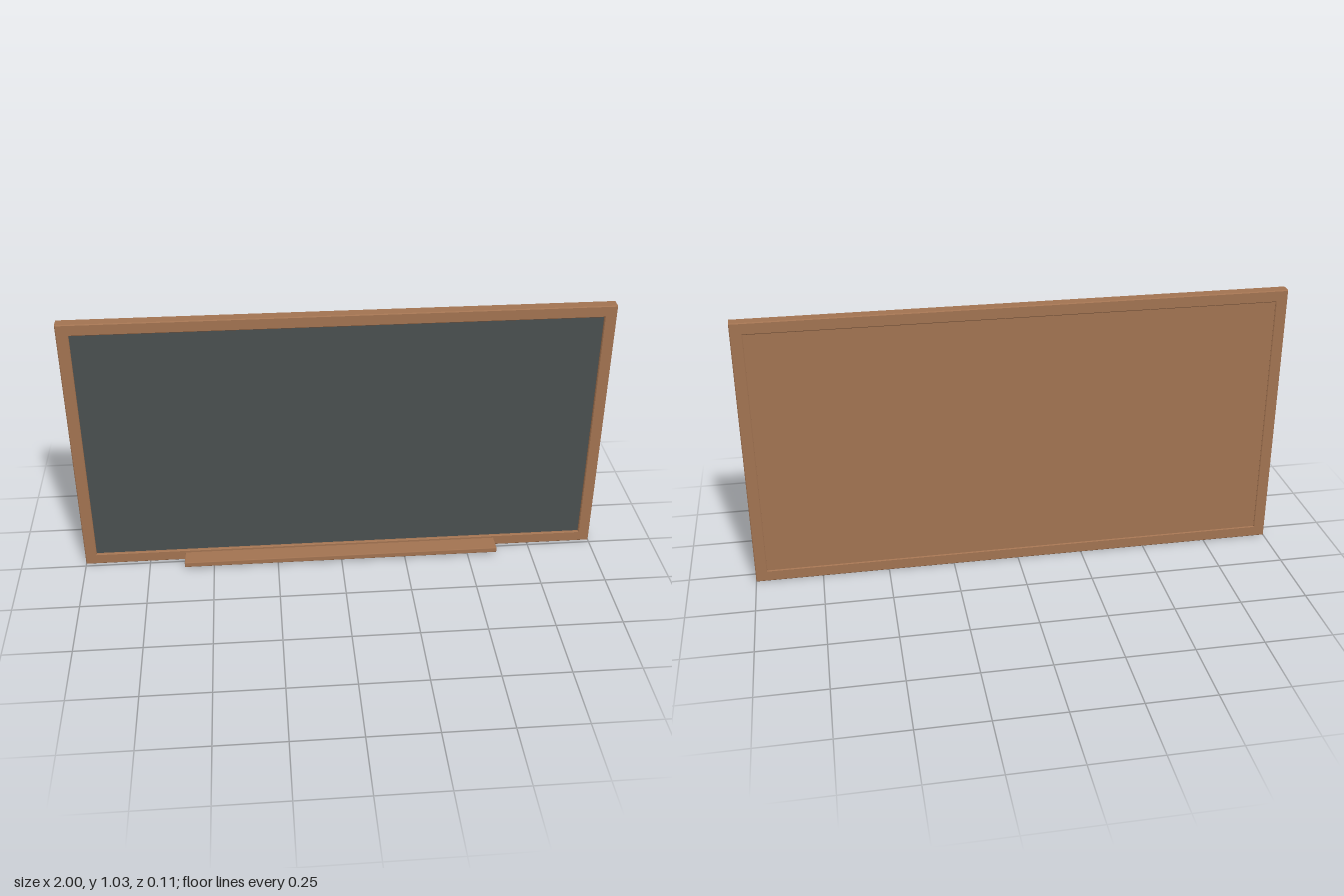
import * as THREE from 'three';
import { RoundedBoxGeometry } from 'three/addons/geometries/RoundedBoxGeometry.js';

const WIDTH = 2, HEIGHT = 1.035, BORDER = 0.044, BEVEL = 0.003;
const BACK = -0.057, FRONT = -0.012;
const MID_Y = HEIGHT / 2;

// Adds a centred rectangle to a shape or path
function rectangle(path, halfW, halfH) {
  path.moveTo(-halfW, -halfH);
  path.lineTo(halfW, -halfH);
  path.lineTo(halfW, halfH);
  path.lineTo(-halfW, halfH);
  path.closePath();
  return path;
}

export function createModel() {
  const model = new THREE.Group();
  model.name = 'chalkboard';

  const wood = new THREE.MeshStandardMaterial({ color: 0xa27351 });
  wood.name = 'brown wood';
  const slate = new THREE.MeshStandardMaterial({ color: 0x4a4f50 });
  slate.name = 'dark slate';

  const add = (name, geometry, material, x, y, z) => {
    const mesh = new THREE.Mesh(geometry, material);
    mesh.name = name;
    mesh.position.set(x, y, z);
    model.add(mesh);
  };

  // Wooden frame with softly bevelled edges
  const outline = rectangle(new THREE.Shape(), WIDTH / 2 - BEVEL, MID_Y - BEVEL);
  outline.holes.push(rectangle(new THREE.Path(), WIDTH / 2 - BORDER + BEVEL, MID_Y - BORDER + BEVEL));
  const frame = new THREE.ExtrudeGeometry(outline, {
    depth: FRONT - BACK - 2 * BEVEL,
    bevelThickness: BEVEL, bevelSize: BEVEL, bevelSegments: 1,
  });
  add('frame', frame, wood, 0, MID_Y, BACK + BEVEL);

  // Recessed panel: wooden backing and a thin writing surface on its front
  const panelW = WIDTH - 2 * BORDER + 0.004, panelH = HEIGHT - 2 * BORDER + 0.004;
  add('backPanel', new THREE.BoxGeometry(panelW, panelH, 0.025), wood, 0, MID_Y, -0.0405);
  add('writingSurface', new THREE.BoxGeometry(panelW, panelH, 0.006), slate, 0, MID_Y, -0.025);

  // Chalk tray
  add('chalkTray', new RoundedBoxGeometry(1.226, 0.021, 0.071, 1, BEVEL), wood, 0, 0.0235, 0.0215);

  return model;
}
